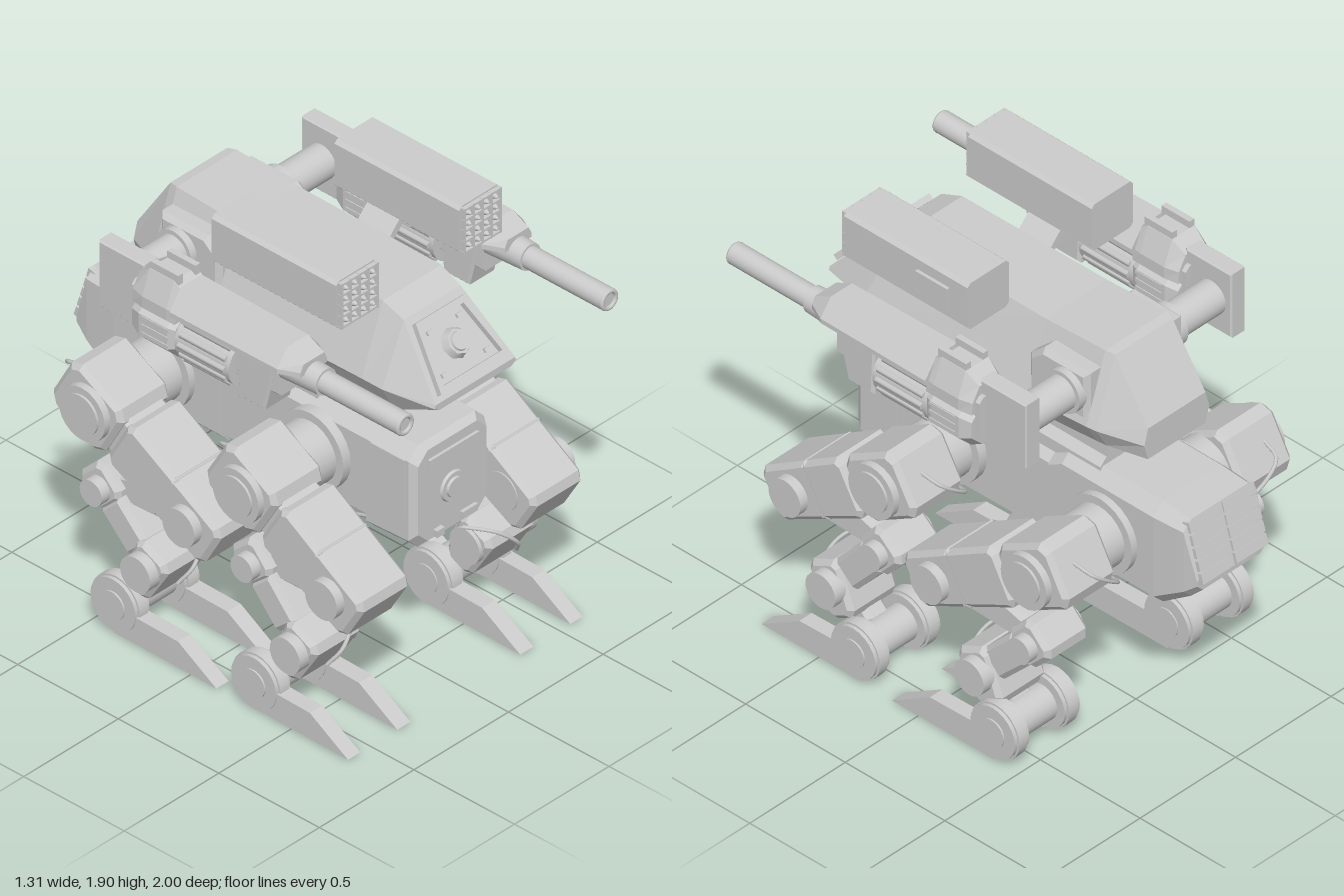
import * as THREE from 'three';

const mat = new THREE.MeshStandardMaterial({ color: 0xcccccc, side: THREE.DoubleSide });

export function createModel() {
  const root = new THREE.Group();
  let parent = root;
  const add = (name, geo) => {
    const m = new THREE.Mesh(geo, mat);
    m.name = name;
    parent.add(m);
    return m;
  };
  const group = (name, build) => {
    const g = new THREE.Group();
    g.name = name;
    root.add(g);
    parent = g;
    build();
    parent = root;
  };
  const box = (name, w, h, d, x, y, z) => add(name, new THREE.BoxGeometry(w, h, d).translate(x, y, z));
  // side profile of [z, y] points, bevelled and spanning x0..x1
  const slab = (name, pts, x0, x1, b = 0.012) => {
    const d = Math.abs(x1 - x0);
    const shape = new THREE.Shape(pts.map(p => new THREE.Vector2(p[0], p[1])));
    const geo = new THREE.ExtrudeGeometry(shape, {
      depth: d - 2 * b, bevelEnabled: b > 0, bevelSegments: 1, bevelSize: b, bevelThickness: b, bevelOffset: -b,
    });
    return add(name, geo.rotateY(-Math.PI / 2).translate(Math.max(x0, x1) - b, 0, 0));
  };
  // chamfered block running between two [z, y] points, from t0 to t1 along the line
  const bar = (name, a, b, h0, h1, t0, t1, x0, x1, c = 0.03) => {
    const len = Math.hypot(b[0] - a[0], b[1] - a[1]);
    const u = [(b[0] - a[0]) / len, (b[1] - a[1]) / len], n = [-u[1], u[0]];
    const pts = [[t0, -h0 + c], [t0 + c, -h0], [t1 - c, -h1], [t1, -h1 + c], [t1, h1 - c], [t1 - c, h1], [t0 + c, h0], [t0, h0 - c]]
      .map(([t, h]) => [a[0] + u[0] * t + n[0] * h, a[1] + u[1] * t + n[1] * h]);
    return slab(name, pts, x0, x1, 0.02);
  };
  const cylX = (name, r, x0, x1, y, z) =>
    add(name, new THREE.CylinderGeometry(r, r, Math.abs(x1 - x0), 24).rotateZ(Math.PI / 2).translate((x0 + x1) / 2, y, z));
  const cylZ = (name, rFront, rBack, z0, z1, x, y, n = 20) =>
    add(name, new THREE.CylinderGeometry(rFront, rBack, z1 - z0, n).rotateX(Math.PI / 2).translate(x, y, (z0 + z1) / 2));
  // hard-edged skin over cross-sections [z, [x, y]...] listed front to back
  const loft = (name, secs) => {
    const v = [], P = secs.map(([z, pts]) => pts.map(p => [p[0], p[1], z])), n = P[0].length;
    const tri = (...t) => t.forEach(p => v.push(...p));
    for (let i = 0; i < P.length - 1; i++) for (let j = 0; j < n; j++) {
      const k = (j + 1) % n;
      tri(P[i][j], P[i + 1][j], P[i + 1][k]);
      tri(P[i][j], P[i + 1][k], P[i][k]);
    }
    const B = P[P.length - 1];
    for (let j = 1; j < n - 1; j++) { tri(P[0][0], P[0][j], P[0][j + 1]); tri(B[0], B[j + 1], B[j]); }
    const g = new THREE.BufferGeometry();
    g.setAttribute('position', new THREE.Float32BufferAttribute(v, 3));
    g.computeVertexNormals();
    return add(name, g);
  };
  const oct = (w, y0, y1, c) => [[-w + c, y0], [w - c, y0], [w, y0 + c], [w, y1 - c], [w - c, y1], [-w + c, y1], [-w, y1 - c], [-w, y0 + c]];
  const hex = (wb, yb, wm, ym, wt, yt) => [[-wb, yb], [wb, yb], [wm, ym], [wt, yt], [-wt, yt], [-wm, ym]];
  const cable = (name, pts, r = 0.008) =>
    add(name, new THREE.TubeGeometry(new THREE.CatmullRomCurve3(pts.map(p => new THREE.Vector3(...p))), 16, r, 6));

  group('hull', () => {
    loft('hullFront', [[0.72, oct(0.18, 0.69, 1.09, 0.05)], [0.69, oct(0.2, 0.66, 1.11, 0.05)], [0.48, oct(0.2, 0.65, 1.11, 0.05)]]);
    loft('hullMiddle', [[0.48, oct(0.19, 0.67, 1.1, 0.05)], [-0.27, oct(0.19, 0.68, 1.1, 0.05)]]);
    loft('hullRear', [[-0.25, oct(0.2, 0.68, 1.1, 0.05)], [-0.32, oct(0.2, 0.68, 1.14, 0.05)], [-0.78, oct(0.2, 0.68, 1.14, 0.05)],
      [-0.92, oct(0.19, 0.78, 1.13, 0.04)], [-0.98, oct(0.18, 0.84, 0.92, 0.03)]]);
    // louvres down the sloping back
    for (const s of [-1, 1]) for (let i = 0; i < 5; i++) {
      const m = box('rearLouvre', 0.165, 0.042, 0.035, 0, 0, 0);
      m.position.set(s * 0.088, 1.1 - i * 0.05, -0.918 - i * 0.0155);
      m.rotation.x = 0.29;
    }
    cylZ('frontLampRing', 0.06, 0.07, 0.71, 0.73, 0, 0.87, 24);
    cylZ('frontLamp', 0.04, 0.045, 0.72, 0.74, 0, 0.87, 24);
    box('frontSlot', 0.26, 0.035, 0.015, 0, 1.03, 0.725);
    box('frontVent', 0.08, 0.03, 0.03, 0.08, 0.72, 0.72);
    box('cableSocket', 0.04, 0.03, 0.04, -0.08, 0.71, 0.72);
    for (const s of [-1, 1]) {
      box('sidePanel', 0.012, 0.26, 0.17, s * 0.2, 0.93, 0.59);
      cable('bellyCable', [[s * 0.32, 0.82, 0.3], [s * 0.24, 0.7, 0.32], [s * 0.1, 0.61, 0.34], [0, 0.56, 0.35], [s * 0.03, 0.68, 0.36]]);
    }
    loft('neckBase', [0.2, -0.48].map(z => [z, oct(0.165, 1.06, 1.17, 0.03)]));
    loft('neck', [0.2, -0.48].map(z => [z, oct(0.13, 1.1, 1.3, 0.01)]));
    loft('chinSensor', [[0.61, hex(0.07, 1.2, 0.09, 1.24, 0.1, 1.29)], [0.57, hex(0.07, 1.175, 0.09, 1.22, 0.1, 1.29)],
      [0.29, hex(0.07, 1.175, 0.09, 1.22, 0.1, 1.29)], [0.24, hex(0.07, 1.21, 0.09, 1.24, 0.1, 1.29)]]);
  });

  group('turret', () => {
    loft('turretShell', [
      [0.835, hex(0.19, 1.355, 0.215, 1.37, 0.21, 1.385)],
      [0.62, hex(0.2, 1.26, 0.265, 1.38, 0.15, 1.63)],
      [0.52, hex(0.2, 1.255, 0.265, 1.38, 0.155, 1.67)],
      [-0.2, hex(0.2, 1.265, 0.265, 1.37, 0.16, 1.67)],
      [-0.5, hex(0.2, 1.29, 0.26, 1.39, 0.16, 1.685)],
      [-0.54, hex(0.195, 1.29, 0.25, 1.385, 0.15, 1.68)],
      [-0.705, hex(0.15, 1.29, 0.17, 1.36, 0.15, 1.43)],
    ]);
    // raised sight plate on the sloping face
    const host = parent;
    const face = new THREE.Group();
    face.name = 'sightPlate';
    face.position.set(0, 1.505, 0.732);
    face.rotation.x = -0.725;
    host.add(face);
    parent = face;
    const trap = (w0, w1, h) => [[-w0, -h], [w0, -h], [w1, h], [-w1, h]].map(p => new THREE.Vector2(...p));
    const plate = new THREE.Shape(trap(0.185, 0.13, 0.135));
    plate.holes.push(new THREE.Path(trap(0.155, 0.105, 0.11).reverse()));
    add('plateFrame', new THREE.ExtrudeGeometry(plate, { depth: 0.025, bevelEnabled: false }));
    cylZ('sightRing', 0.05, 0.062, 0, 0.03, 0, 0, 8);
    cylZ('sightLens', 0.035, 0.04, 0.02, 0.04, 0, 0, 24);
    for (const s of [-1, 1]) for (const t of [-1, 1]) box('plateBolt', 0.035, 0.016, 0.012, s * (0.095 - t * 0.017), t * 0.08, 0.008);
    parent = host;
    for (const s of [-1, 1]) {
      slab('shoulderArmour', [[-0.2, 1.4], [-0.5, 1.4], [-0.5, 1.62], [-0.27, 1.62], [-0.2, 1.56]], s * 0.13, s * 0.255, 0.02);
      cylX('gunArm', 0.072, s * 0.2, s * 0.52, 1.51, -0.4);
      cylX('armCollar', 0.09, s * 0.22, s * 0.285, 1.51, -0.4);
    }
  });

  for (const s of [-1, 1]) {
    const side = s > 0 ? 'left' : 'right';
    group(side + 'MissilePod', () => {
      const x = s * 0.325;
      loft('podCase', [0.55, -0.07].map(z => [z, oct(0.108, 1.695, 1.905, 0.015).map(p => [p[0] + x, p[1]])]));
      for (let i = 0; i < 5; i++) {
        box('cellWall', 0.009, 0.2, 0.02, x + (i - 2) * 0.047, 1.8, 0.558);
        box('cellWall', 0.2, 0.009, 0.02, x, 1.8 + (i - 2) * 0.047, 0.558);
      }
      for (let i = 0; i < 16; i++)
        cylZ('missileTip', 0.004, 0.017, 0.55, 0.575, x + (i % 4 - 1.5) * 0.047, 1.8 + (Math.floor(i / 4) - 1.5) * 0.047, 8);
      if (s > 0) box('podPanel', 0.02, 0.11, 0.16, 0.437, 1.79, 0.1);
      box('podFoot', 0.1, 0.03, 0.22, s * 0.29, 1.69, 0.17);
      const strut = box('podStrut', 0.16, 0.03, 0.16, 0, 0, 0);
      strut.position.set(s * 0.2, 1.665, 0.17);
      strut.rotation.z = s * 0.8;
    });

    group(side + 'Gun', () => {
      const x = s * 0.54, at = pts => pts.map(p => [p[0] + x, p[1]]);
      slab('armPlate', [[-0.27, 1.37], [-0.5, 1.37], [-0.5, 1.66], [-0.27, 1.66]], s * 0.5, s * 0.575, 0.006);
      const hood = (w, y) => at([[-w, 1.57], [w, 1.57], [w, 1.59], [0.055, y], [-0.055, y], [-w, 1.59]]);
      loft('hood', [[0.54, hood(0.07, 1.62)], [0.46, hood(0.11, 1.66)], [-0.07, hood(0.115, 1.67)]]);
      loft('gunCore', [[0.42, at(oct(0.065, 1.42, 1.59, 0.02))], [-0.3, at(oct(0.07, 1.4, 1.6, 0.02))]]);
      // rounded breech with a narrow ridge on top
      loft('breech', [[-0.06, at(oct(0.095, 1.36, 1.56, 0.06))], [-0.09, at(oct(0.108, 1.345, 1.57, 0.065))],
        [-0.23, at(oct(0.108, 1.345, 1.57, 0.065))], [-0.28, at(oct(0.09, 1.37, 1.55, 0.055))]]);
      loft('breechRidge', [[-0.06, at(hex(0.1, 1.53, 0.095, 1.58, 0.06, 1.66))], [-0.1, at(hex(0.1, 1.53, 0.1, 1.58, 0.06, 1.685))],
        [-0.22, at(hex(0.1, 1.53, 0.1, 1.58, 0.06, 1.685))], [-0.28, at(hex(0.09, 1.53, 0.085, 1.58, 0.05, 1.64))]]);
      for (const t of [-1, 1]) box('topFin', 0.025, 0.05, 0.14, x + t * 0.045, 1.69, -0.15);
      for (let i = 0; i < 3; i++) box('breechSlot', 0.224, 0.014, 0.13, x, 1.425 + i * 0.035, -0.15);
      slab('ammoFeed', [[0.42, 1.58], [0.36, 1.34], [0.23, 1.34], [0.22, 1.58]], x - 0.075, x + 0.075);
      cylZ('ammoDrum', 0.1, 0.1, -0.06, 0.21, x, 1.45);
      for (let i = 0; i < 14; i++) {
        const a = i / 14 * Math.PI * 2;
        cylZ('drumRib', 0.014, 0.014, -0.04, 0.19, x + Math.cos(a) * 0.097, 1.45 + Math.sin(a) * 0.097, 6);
      }
      cylZ('barrelSleeve', 0.055, 0.065, 0.4, 0.6, x, 1.545);
      cylZ('barrel', 0.045, 0.045, 0.58, 0.99, x, 1.545, 24);
      add('muzzle', new THREE.TorusGeometry(0.036, 0.01, 8, 24).translate(x, 1.545, 0.99));
    });

    // joints as [z, y]: hip, knee, hock, ankle, wheel, then the toe tip
    const legs = {
      Front: [[0.23, 0.905], [0.66, 0.65], [0.25, 0.585], [0.48, 0.32], [0.32, 0.12], 0.785],
      Rear: [[-0.535, 0.9], [-0.05, 0.63], [-0.5, 0.56], [-0.265, 0.32], [-0.38, 0.13], 0.13],
    };
    for (const [end, [hip, knee, hock, ankle, wheel, tip]] of Object.entries(legs)) group(side + end + 'Leg', () => {
      const len = Math.hypot(knee[0] - hip[0], knee[1] - hip[1]);
      cylX('hipFlange', 0.165, s * 0.18, s * 0.23, hip[1], hip[0]);
      cylX('hipAxle', 0.13, s * 0.2, s * 0.35, hip[1], hip[0]);
      cylX('hipCap', 0.115, s * 0.57, s * 0.625, hip[1], hip[0]);
      cylX('hipCapCentre', 0.085, s * 0.6, s * 0.635, hip[1], hip[0]);
      bar('hipBlock', hip, knee, 0.135, 0.135, -0.16, 0.14, s * 0.33, s * 0.595, 0.04);
      bar('thighCore', hip, knee, 0.1, 0.1, 0.1, 0.2, s * 0.36, s * 0.57);
      bar('thigh', hip, knee, 0.125, 0.11, 0.155, len + 0.14, s * 0.325, s * 0.59, 0.03);
      bar('thighBand', hip, knee, 0.122, 0.12, len - 0.14, len - 0.115, s * 0.32, s * 0.595, 0.01);
      cylX('kneeCap', 0.08, s * 0.32, s * 0.63, knee[1], knee[0]);
      bar('kneeLink', knee, hock, 0.105, 0.055, -0.03, Math.hypot(hock[0] - knee[0], hock[1] - knee[1]), s * 0.37, s * 0.53);
      bar('shinTop', hock, ankle, 0.085, 0.085, -0.09, 0.08, s * 0.35, s * 0.57);
      cylX('hockCap', 0.055, s * 0.335, s * 0.615, hock[1], hock[0]);
      bar('shin', hock, ankle, 0.068, 0.068, 0.06, 0.27, s * 0.36, s * 0.57, 0.01);
      const foot = [ankle[0] - 0.05, ankle[1] - 0.1];
      bar('ankleBlock', ankle, foot, 0.088, 0.07, -0.1, 0.14, s * 0.335, s * 0.585);
      cylX('ankleCap', 0.075, s * 0.32, s * 0.63, ankle[1], ankle[0]);
      bar('ankleStrut', foot, wheel, 0.035, 0.03, -0.03, 0.15, s * 0.4, s * 0.51, 0.005);
      cable('ankleCable', [[s * 0.5, ankle[1] - 0.06, ankle[0] + 0.09], [s * 0.46, ankle[1] + 0.01, ankle[0] + 0.13],
        [s * 0.38, ankle[1] + 0.08, ankle[0] + 0.1], [s * 0.3, ankle[1] + 0.1, ankle[0] + 0.01]]);
      cable('hipCable', [[s * 0.5, hip[1] + 0.09, hip[0] - 0.13], [s * 0.48, hip[1] + 0.06, hip[0] - 0.21],
        [s * 0.34, hip[1] - 0.05, hip[0] - 0.2], [s * 0.27, hip[1] - 0.12, hip[0] - 0.06]]);
      // paired wheels with long flat toes
      cylX('wheelAxle', 0.075, s * 0.3, s * 0.61, wheel[1], wheel[0]);
      for (const [a, b, hub] of [[0.285, 0.365, 0.28], [0.55, 0.625, 0.632]]) {
        cylX('footWheel', 0.112, s * a, s * b, wheel[1], wheel[0]);
        cylX('wheelRim', 0.12, s * (a + 0.015), s * (b - 0.015), wheel[1], wheel[0]);
        cylX('wheelHub', 0.06, s * hub, s * (a + b) / 2, wheel[1], wheel[0]);
        slab('toe', [[tip, 0.002], [tip - 0.19, 0.118], [wheel[0], 0.125], [wheel[0], 0.006]], s * (a + 0.005), s * (b - 0.005), 0);
      }
    });
  }
  return root;
}
